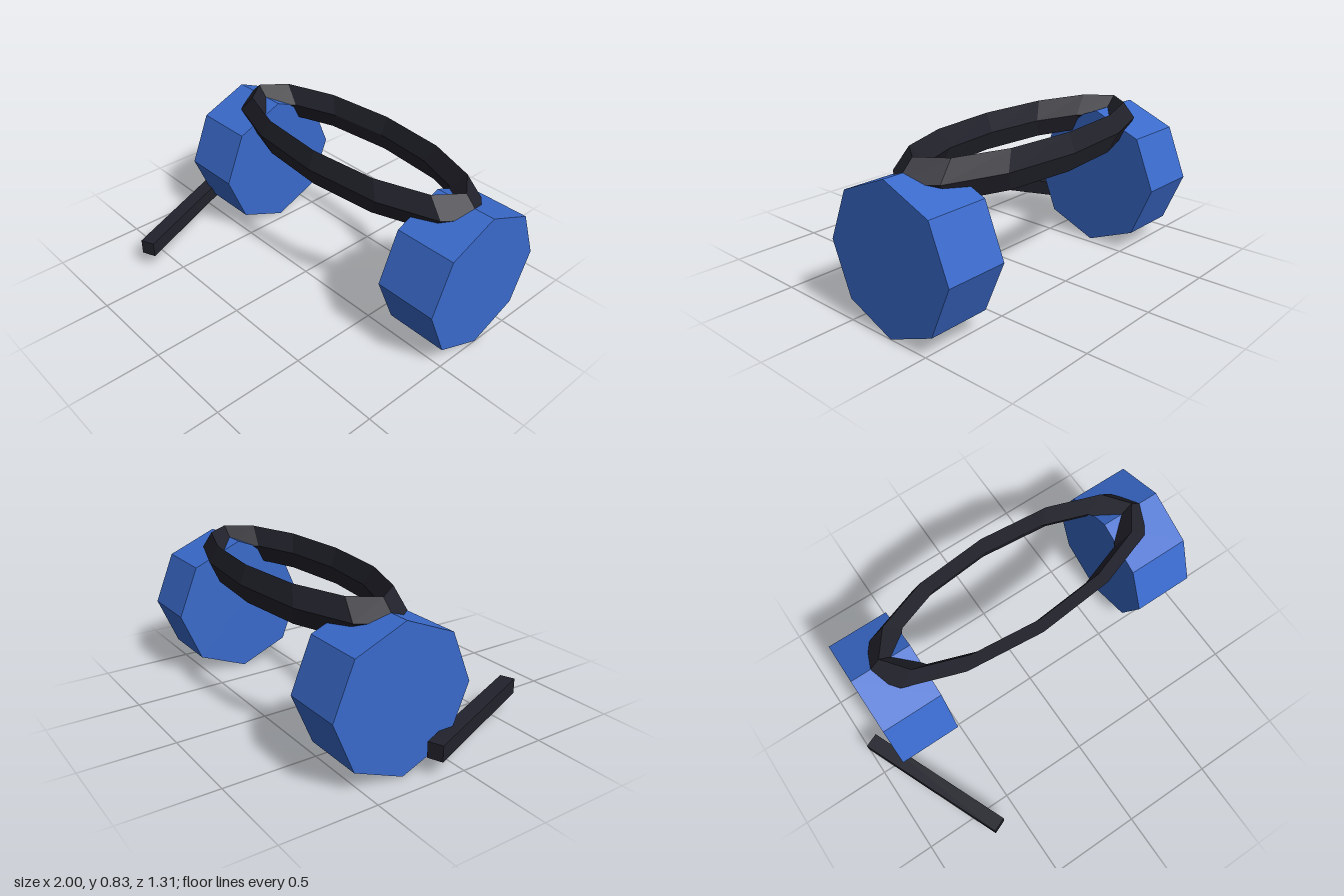
import * as THREE from 'three';

export function createModel() {
  const model = new THREE.Group();
  model.name = 'headset';

  const blue = new THREE.MeshStandardMaterial({ color: 0x3a6acb, flatShading: true });
  blue.name = 'blue';
  const black = new THREE.MeshStandardMaterial({ color: 0x22222c, flatShading: true });
  black.name = 'black';

  const add = (name, geometry, material, x, y, z) => {
    const mesh = new THREE.Mesh(geometry, material);
    mesh.name = name;
    mesh.position.set(x, y, z);
    model.add(mesh);
    return mesh;
  };

  const midX = 0.06;
  const midZ = -0.27;

  // Octagonal ear cups, axis along x
  const cup = new THREE.CylinderGeometry(0.385, 0.385, 0.34, 8).rotateZ(Math.PI / 2);
  for (const [name, side] of [['leftEarCup', 1], ['rightEarCup', -1]]) {
    add(name, cup, blue, midX + side * 0.77, 0.387, midZ);
  }

  // Flattened ring band with a diamond cross-section
  const band = new THREE.TorusGeometry(0.77, 0.1, 4, 12)
    .rotateX(Math.PI / 2)
    .scale(1, 1, 0.35);
  add('headband', band, black, midX, 0.73, midZ);

  // Microphone arm angled forwards and inwards
  const arm = add('microphoneArm', new THREE.BoxGeometry(0.081, 0.085, 0.852), black, -0.797, 0.132, 0.243);
  arm.rotation.y = 0.398;

  return model;
}
